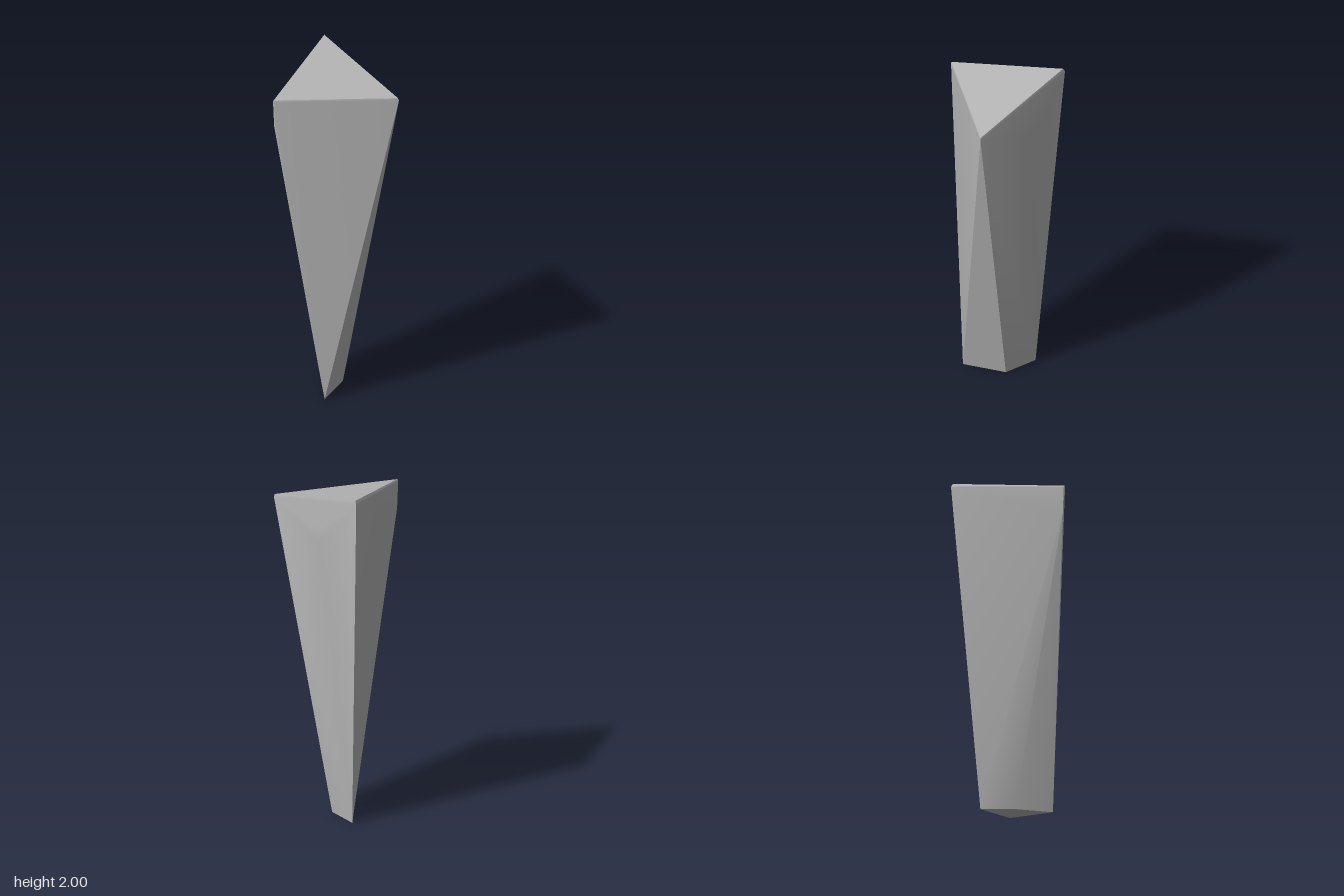
import * as THREE from 'three';
import { ConvexGeometry } from 'three/addons/geometries/ConvexGeometry.js';
import { toCreasedNormals } from 'three/addons/utils/BufferGeometryUtils.js';

export function createModel() {
  const group = new THREE.Group();
  group.name = 'stoneShard';
  const stone = new THREE.MeshStandardMaterial({ color: 0xb4b4b4 });
  stone.name = 'grey stone';

  // Sloped triangular top, with a thin worn rim just below it
  const top = [[-0.323, 2, -0.284], [0.33, 1.855, -0.284], [-0.038, 1.887, 0.314]];
  const rim = [[-0.335, 1.98, -0.288], [0.334, 1.84, -0.288],
    [-0.044, 1.88, 0.314], [-0.034, 1.88, 0.314], [-0.044, 1.72, 0.306], [-0.036, 1.7, 0.304]];
  // Rounded bulge high on the back
  const bulge = [[-0.08, 1.77, -0.314], [0, 1.75, -0.314], [-0.04, 1.7, -0.315], [-0.075, 1.71, -0.314]];
  // Narrow twisted foot
  const foot = [[0.115, 0, 0.07], [-0.062, 0, -0.05], [-0.2, 0, -0.19], [0, 0, -0.155]];

  const points = [...top, ...rim, ...bulge, ...foot].map((p) => new THREE.Vector3(...p));
  const shard = new THREE.Mesh(toCreasedNormals(new ConvexGeometry(points), 0.4), stone);
  shard.name = 'shard';
  group.add(shard);
  return group;
}
